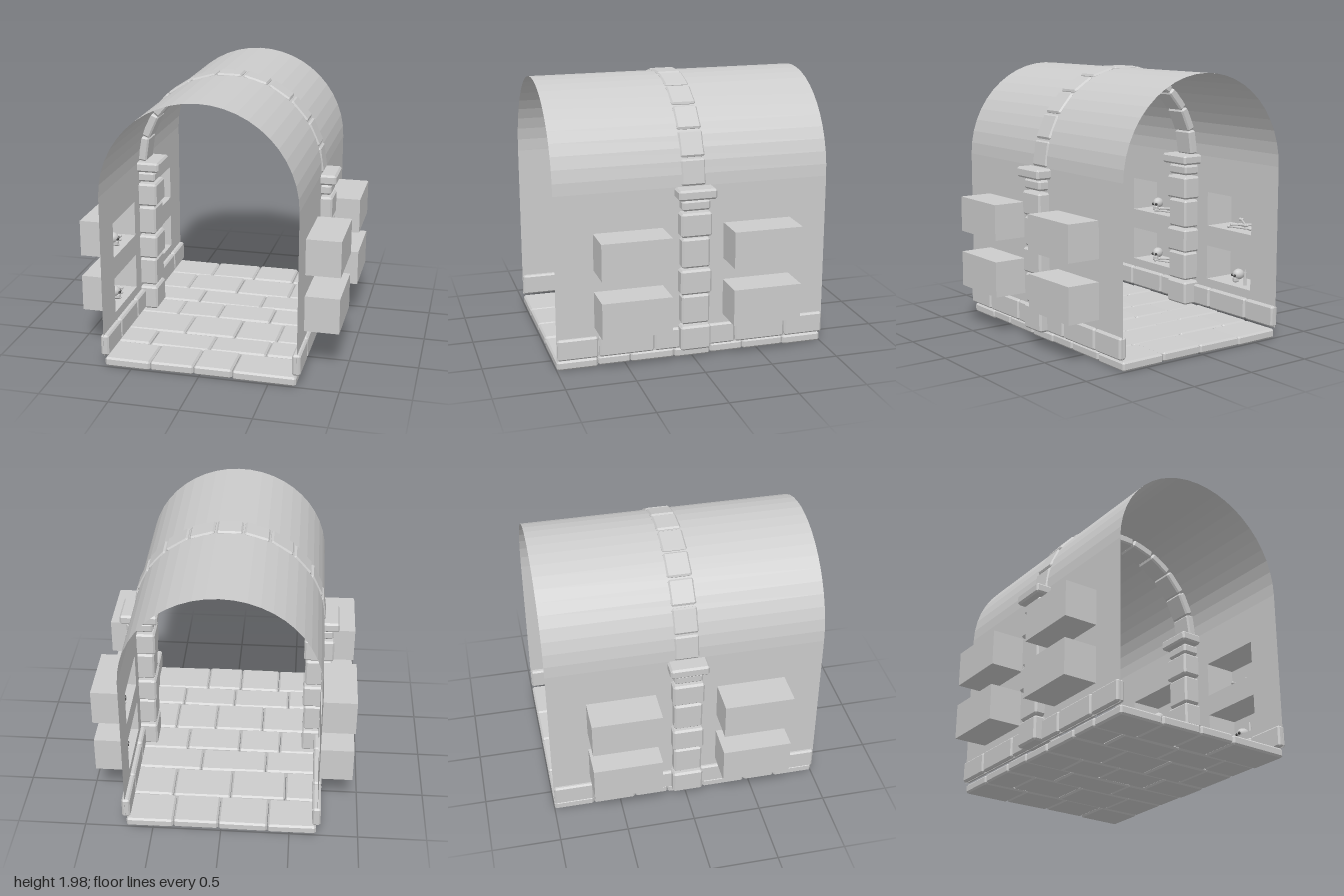
import * as THREE from 'three';
import { ConvexGeometry } from 'three/addons/geometries/ConvexGeometry.js';

const stone = new THREE.MeshStandardMaterial({ color: 0xcccccc, flatShading: true });
const shell = new THREE.MeshStandardMaterial({ color: 0xcccccc, flatShading: true, side: THREE.DoubleSide });
const smooth = new THREE.MeshStandardMaterial({ color: 0xcccccc });

const WALL_X = 0.7, SPRING_Y = 1.28;
const NICHE_Z = [-0.475, 0.475], NICHE_Y = [[0.305, 0.57], [0.73, 0.995]];
const NICHE_LENGTH = 0.5, NICHE_DEPTH = 0.25;

function add(parent, name, geometry, material, x = 0, y = 0, z = 0) {
  const mesh = new THREE.Mesh(geometry, material);
  mesh.name = name;
  mesh.position.set(x, y, z);
  parent.add(mesh);
  return mesh;
}

function group(parent, name, x = 0, y = 0, z = 0) {
  const g = new THREE.Group();
  g.name = name;
  g.position.set(x, y, z);
  parent.add(g);
  return g;
}

// Chamfered stone block
function block(w, h, d, c = 0.012) {
  const points = [];
  for (const sx of [-1, 1]) for (const sy of [-1, 1]) for (const sz of [-1, 1]) {
    const [x, y, z] = [w / 2, h / 2, d / 2];
    points.push(
      new THREE.Vector3(sx * x, sy * (y - c), sz * (z - c)),
      new THREE.Vector3(sx * (x - c), sy * y, sz * (z - c)),
      new THREE.Vector3(sx * (x - c), sy * (y - c), sz * z));
  }
  return new ConvexGeometry(points);
}

// Long bone with a pair of knobs at each end
function addBone(parent, length, x, y, z, turn, tilt = 0) {
  const bone = group(parent, 'bone', x, y, z);
  bone.rotation.set(tilt, turn, 0);
  add(bone, 'boneShaft', new THREE.CylinderGeometry(0.008, 0.008, length, 8).rotateX(Math.PI / 2), smooth);
  for (const end of [-1, 1]) for (const s of [-1, 1])
    add(bone, 'boneKnob', new THREE.SphereGeometry(0.012, 8, 6), smooth, s * 0.008, 0, end * length / 2);
}

// Skull facing -x, towards the passage
function addSkull(parent, x, y, z, turn = 0) {
  const skull = group(parent, 'skull', x, y, z);
  skull.rotation.y = turn;
  add(skull, 'cranium', new THREE.SphereGeometry(0.042, 14, 10).scale(1.15, 1, 0.95), smooth, 0, 0.062, 0);
  add(skull, 'jaw', block(0.045, 0.04, 0.045, 0.008), stone, -0.022, 0.022, 0);
  const hollow = new THREE.MeshStandardMaterial({ color: 0x444444 });
  for (const s of [-1, 1])
    add(skull, 'eyeSocket', new THREE.SphereGeometry(0.011, 8, 6), hollow, -0.042, 0.056, s * 0.017);
}

function addBonePile(parent) {
  addBone(parent, 0.2, -0.03, 0.013, 0.03, 0.25);
  addBone(parent, 0.18, 0.03, 0.013, 0.02, -0.35);
  addBone(parent, 0.17, 0, 0.034, 0.03, 0.9);
  addBone(parent, 0.16, 0.01, 0.05, 0.03, -0.5, 0.15);
}

function addCandles(parent) {
  for (const [x, z, h] of [[-0.03, 0.1, 0.1], [0.03, 0.14, 0.13], [-0.02, 0.17, 0.07]]) {
    add(parent, 'candle', new THREE.CylinderGeometry(0.01, 0.013, h, 10), smooth, x, h / 2, z);
    add(parent, 'candleFlame', new THREE.ConeGeometry(0.006, 0.025, 8), smooth, x, h + 0.012, z);
  }
}

// Flat wall pierced by the niche openings
function wallGeometry() {
  const rect = (p, z0, z1, y0, y1) => {
    p.moveTo(z0, y0); p.lineTo(z1, y0); p.lineTo(z1, y1); p.lineTo(z0, y1); p.closePath();
    return p;
  };
  const shape = rect(new THREE.Shape(), -1, 1, 0.08, SPRING_Y);
  for (const z of NICHE_Z) for (const [y0, y1] of NICHE_Y)
    shape.holes.push(rect(new THREE.Path(), z - NICHE_LENGTH / 2, z + NICHE_LENGTH / 2, y0, y1));
  return new THREE.ShapeGeometry(shape).rotateY(-Math.PI / 2);
}

// Box without its -x face
function nicheGeometry(height) {
  const box = new THREE.BoxGeometry(NICHE_DEPTH, height, NICHE_LENGTH);
  const index = Array.from(box.index.array);
  index.splice(6, 6);
  box.setIndex(index);
  box.clearGroups();
  return box;
}

function addSide(parent, name) {
  const side = group(parent, name);
  add(side, 'wall', wallGeometry(), shell, WALL_X);

  // Niches and what lies in them
  NICHE_Z.forEach((z, column) => NICHE_Y.forEach(([y0, y1], row) => {
    const niche = group(side, 'niche', WALL_X + NICHE_DEPTH / 2, y0, z);
    add(niche, 'nicheRecess', nicheGeometry(y1 - y0), shell, 0, (y1 - y0) / 2);
    const contents = group(niche, 'nicheContents', -0.01, 0.002, 0);
    if (column === 0) {
      addSkull(contents, -0.03, 0.01, -0.03, 0.2);
      addBone(contents, 0.2, -0.03, 0.013, 0.08, 0.3);
      addBone(contents, 0.18, 0.02, 0.013, 0.09, -0.4);
      addBone(contents, 0.17, 0, 0.035, 0.09, 0.8);
    } else if (row === 1) {
      addBonePile(contents);
    } else {
      addSkull(contents, 0, 0, -0.01, -0.2);
      addCandles(contents);
    }
  }));

  // Skirting stones
  const cuts = [-1, -0.7, -0.315, 0, 0.29, 0.7, 1];
  for (let i = 0; i < cuts.length - 1; i++) {
    add(side, 'skirtingStone', block(0.06, 0.155, cuts[i + 1] - cuts[i] - 0.008),
      stone, 0.695, 0.162, (cuts[i] + cuts[i + 1]) / 2);
  }

  // Pillar: inner x, outer x, bottom, top, half depth
  const courses = [
    [0.57, 0.785, 0.083, 0.265, 0.112], [0.575, 0.775, 0.28, 0.497, 0.103],
    [0.565, 0.785, 0.505, 0.687, 0.114], [0.575, 0.775, 0.7, 0.918, 0.103],
    [0.562, 0.785, 0.93, 1.105, 0.114], [0.575, 0.775, 1.12, 1.195, 0.103],
    [0.535, 0.815, 1.205, 1.28, 0.14],
  ];
  const pillar = group(side, 'pillar');
  courses.forEach(([x0, x1, y0, y1, hz], i) => add(pillar, i === 6 ? 'pillarCap' : 'pillarStone',
    block(x1 - x0, y1 - y0, hz * 2, 0.014), stone, (x0 + x1) / 2, (y0 + y1) / 2, 0));
  return side;
}

export function createModel() {
  const model = new THREE.Group();
  model.name = 'vaultedPassage';

  // Walls, niches and pillars on both sides
  addSide(model, 'leftSide');
  addSide(model, 'rightSide').rotation.y = Math.PI;

  // Barrel vault
  add(model, 'vault', new THREE.CylinderGeometry(WALL_X, WALL_X, 2, 24, 1, true, Math.PI / 2, Math.PI)
    .rotateX(Math.PI / 2), shell, 0, SPRING_Y - 0.005, 0);

  // Arch ring of eleven stones
  const arch = group(model, 'arch', 0, SPRING_Y - 0.002, 0);
  for (let i = 0; i < 11; i++) {
    const a = (i + 0.5) * Math.PI / 11;
    const voussoir = add(arch, 'archStone', block(0.07, 0.186, 0.178), stone, 0.672 * Math.cos(a), 0.672 * Math.sin(a), 0);
    voussoir.rotation.z = a;
  }

  // Floor slabs laid in staggered rows
  const rows = [1, 0.7, 0.46, 0.135, -0.135, -0.385, -0.7, -1];
  const joints = [
    [-0.36, -0.04, 0.24], [-0.45, 0.0, 0.42], [-0.25, 0.13, 0.45], [-0.4, -0.08, 0.33],
    [-0.3, 0.2], [-0.46, -0.05, 0.38], [-0.34, 0.02, 0.35],
  ];
  const floor = group(model, 'floor');
  joints.forEach((inner, r) => {
    const xs = [-0.697, ...inner, 0.697];
    for (let i = 0; i < xs.length - 1; i++) {
      const slab = add(floor, 'floorSlab', block(xs[i + 1] - xs[i] - 0.004, 0.068, rows[r] - rows[r + 1] - 0.004, 0.013),
        stone, (xs[i] + xs[i + 1]) / 2, 0.036 + 0.003 * ((r * 2 + i) % 3), (rows[r] + rows[r + 1]) / 2);
      slab.rotation.z = 0.006 * ((r + i * 2) % 3 - 1);
    }
  });
  return model;
}
